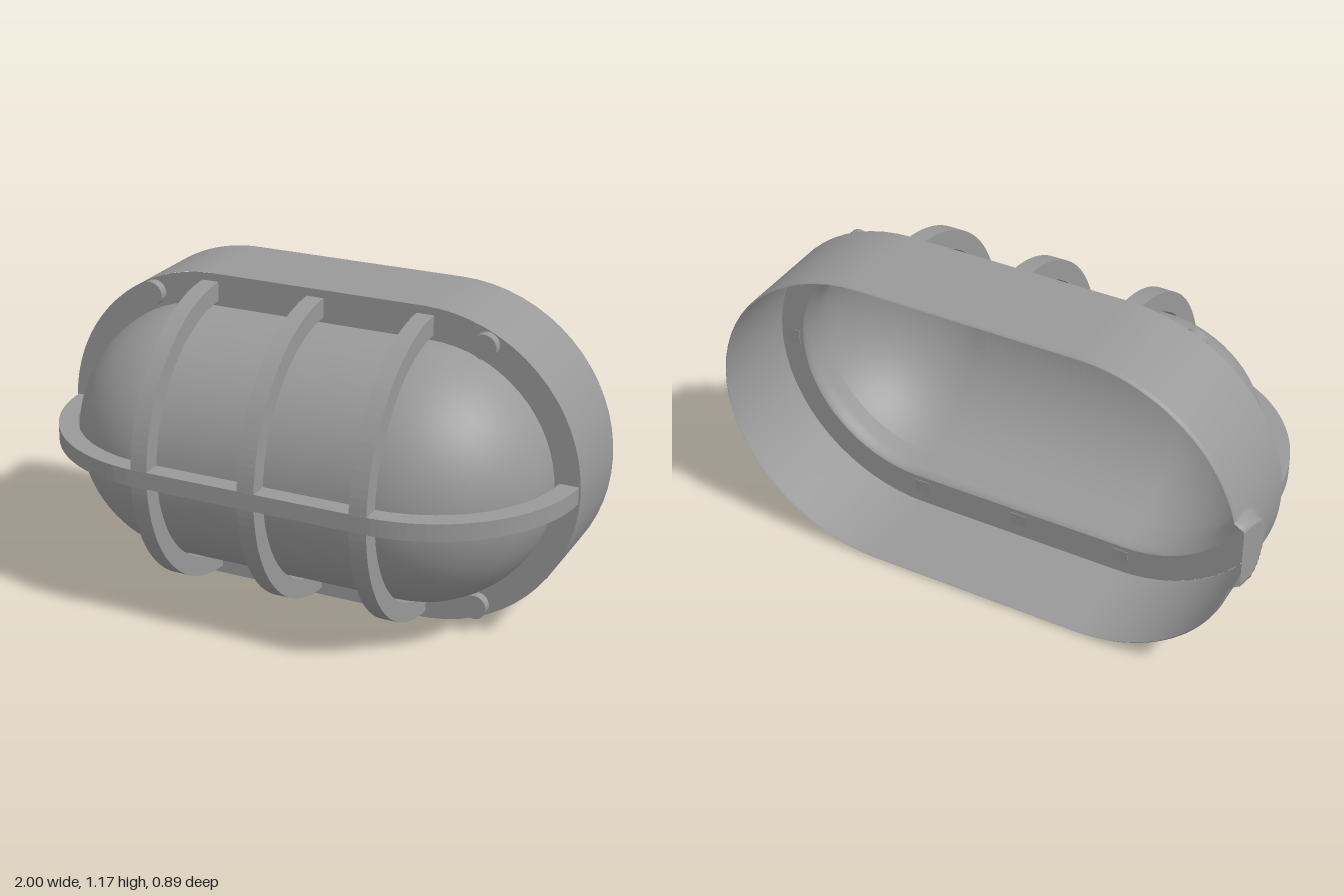
import * as THREE from 'three';

const material = new THREE.MeshStandardMaterial({ color: 0x999999, side: THREE.DoubleSide });
const FACE = -0.087; // z of the housing's front face
const BACK = -0.445; // z of the open back

function addMesh(parent, name, geometry) {
  const mesh = new THREE.Mesh(geometry, material);
  mesh.name = name;
  parent.add(mesh);
  return mesh;
}

// Sweeps a profile of [radius, z, halfStraight] points round an oblong loop.
// leftSteps is the number of segments in the arc at the -x end.
function oblongLoft(profile, leftSteps = 32, reshape = null) {
  const loop = [];
  const rightSteps = 32;
  for (let i = 0; i <= rightSteps; i++) loop.push([1, -Math.PI / 2 + (Math.PI * i) / rightSteps]);
  for (let i = 0; i <= leftSteps; i++) loop.push([-1, Math.PI / 2 + (Math.PI * i) / leftSteps]);
  const n = loop.length;
  const position = [];
  const index = [];
  profile.forEach(([r, z, half], row) => {
    loop.forEach(([side, a], j) => {
      const p = new THREE.Vector3(side * half + r * Math.cos(a), r * Math.sin(a), z);
      if (reshape) reshape(p);
      position.push(p.x, p.y, p.z);
      if (row === profile.length - 1) return;
      const k = (j + 1) % n;
      const a0 = row * n + j, b0 = row * n + k;
      index.push(a0, b0, b0 + n, a0, b0 + n, a0 + n);
    });
  });
  const g = new THREE.BufferGeometry();
  g.setAttribute('position', new THREE.Float32BufferAttribute(position, 3));
  g.setIndex(index);
  g.computeVertexNormals();
  return g;
}

// Flat arch-shaped bar, extruded to its width and pointing to +z
function archBar(half, inner, outer, width) {
  const a = 0.043;
  const s = new THREE.Shape();
  s.absarc(half, 0, outer, a, Math.PI / 2, false);
  s.absarc(-half, 0, outer, Math.PI / 2, Math.PI - a, false);
  s.absarc(-half, 0, inner, Math.PI - a, Math.PI / 2, true);
  s.absarc(half, 0, inner, Math.PI / 2, a, true);
  const g = new THREE.ExtrudeGeometry(s, { depth: width, bevelEnabled: false, curveSegments: 14 });
  g.translate(0, 0, -width / 2);
  return g.rotateX(Math.PI / 2);
}

export function createModel() {
  const model = new THREE.Group();
  model.name = 'bulkheadLamp';
  const lamp = new THREE.Group();
  lamp.name = 'lamp';
  lamp.position.set(0.0135, 0.583, 0);
  model.add(lamp);

  // Housing wall, open at the back, with a round cable boss pushed out of the -x end
  const R = 0.583, H = 0.402;
  const wall = [[R - 0.006, BACK, H]];
  const rows = 32;
  for (let i = 0; i <= rows; i++) wall.push([R, BACK + 0.006 + ((FACE - BACK - 0.006) * i) / rows, H]);
  const cableBoss = (p) => {
    if (p.x > 0) return;
    const d = Math.hypot(p.y, p.z + 0.412);
    const t = THREE.MathUtils.clamp((0.138 - d) / 0.02, 0, 1);
    const cap = -1.0135 + Math.max(0, -0.37 - p.z) * 0.2;
    p.x = THREE.MathUtils.lerp(p.x, cap, t);
  };
  addMesh(lamp, 'housingWall', oblongLoft(wall, 160, cableBoss));

  // Front face with an oblong opening
  const D = 0.466, DH = 0.427;
  addMesh(lamp, 'housingFace', oblongLoft([[R, FACE, H], [D, FACE, DH]]));

  // Rounded shoulder leading from the opening into the dome, on the inside
  addMesh(lamp, 'innerShoulder', oblongLoft([
    [D, FACE, DH], [0.455, -0.079, DH], [0.447, -0.06, DH], [0.444, -0.03, DH], [0.449, 0.03, DH],
  ]));

  // Glass dome: half a capsule
  const dome = [];
  for (let i = 0; i <= 12; i++) {
    const t = (i / 12) * Math.PI / 2;
    dome.push([D * Math.cos(t), FACE + 0.464 * Math.sin(t), DH]);
  }
  addMesh(lamp, 'glassDome', oblongLoft(dome));

  // Guard cage: one long horizontal bar and three upright hoops
  const cage = new THREE.Group();
  cage.name = 'guardCage';
  cage.position.z = -0.11;
  lamp.add(cage);
  addMesh(cage, 'horizontalBar', archBar(0.424, 0.485, 0.555, 0.062));
  for (const x of [-0.409, 0, 0.409]) {
    const hoop = addMesh(cage, 'uprightHoop', archBar(0, 0.485, 0.555, 0.063).rotateZ(Math.PI / 2));
    hoop.position.x = x;
  }

  // Four screw heads in the corners of the face
  for (const x of [-0.634, 0.634]) {
    for (const y of [-0.482, 0.482]) {
      const g = new THREE.CylinderGeometry(0.045, 0.045, 0.034, 24).rotateX(Math.PI / 2);
      addMesh(lamp, 'screwHead', g).position.set(x, y, FACE + 0.017);
    }
  }
  return model;
}
